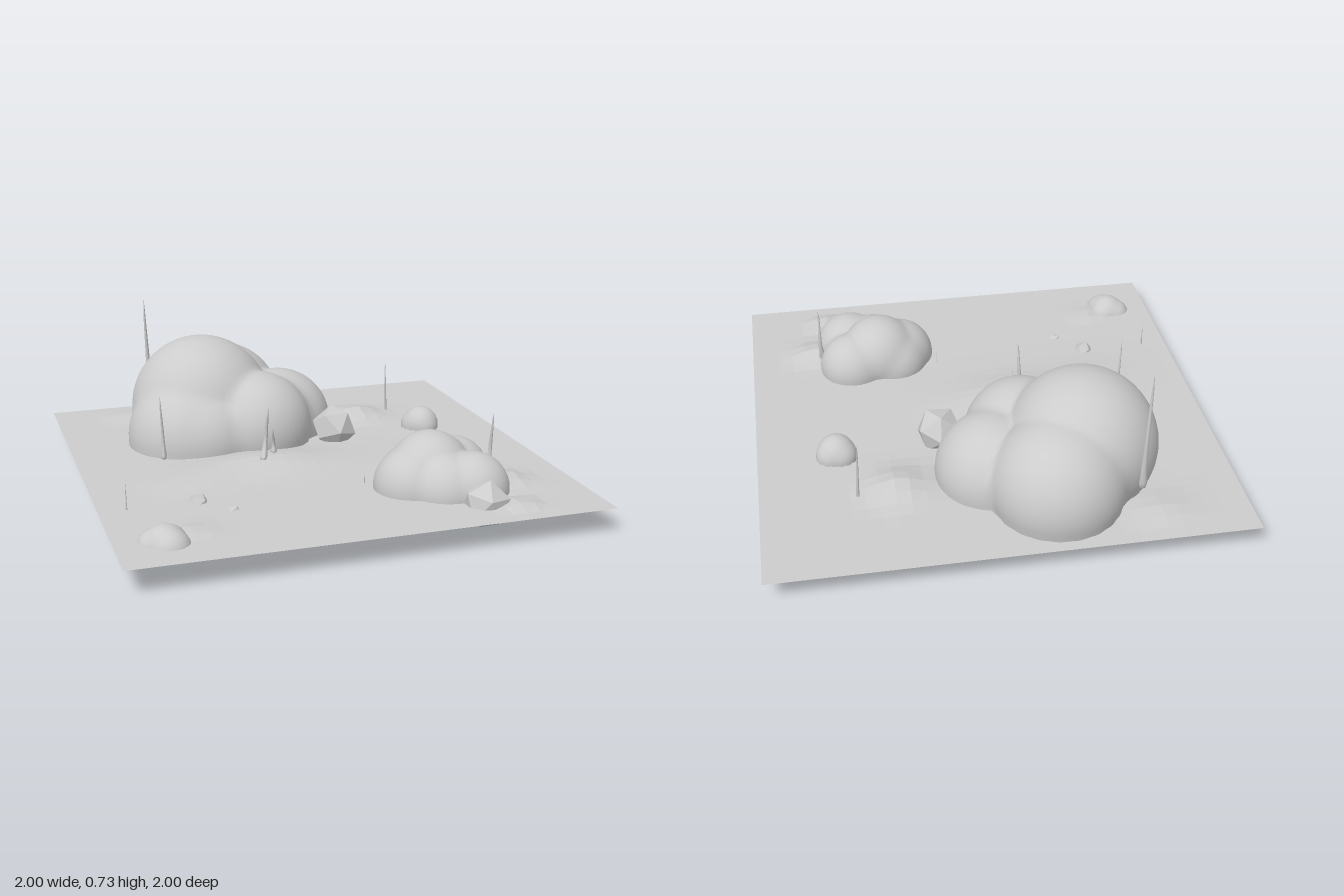
import * as THREE from 'three';
import { mergeVertices } from 'three/addons/utils/BufferGeometryUtils.js';

const GROUND = 0.11;
const smooth = new THREE.MeshStandardMaterial({ color: 0xcccccc, side: THREE.DoubleSide });
const faceted = new THREE.MeshStandardMaterial({ color: 0xcccccc, side: THREE.DoubleSide, flatShading: true });

// Low mounds on the ground: [x, z, width x, width z, height]
const mounds = [
  [-0.2, 0.06, 0.3, 0.16, 0.045],
  [-0.55, 0.2, 0.18, 0.14, 0.015],
  [0.42, -0.5, 0.12, 0.11, 0.05],
  [0.7, 0.57, 0.1, 0.09, 0.045],
  [0.64, 0.85, 0.07, 0.06, 0.03],
  [-0.62, -0.82, 0.12, 0.1, 0.02],
  [-0.68, 0.72, 0.08, 0.06, 0.015],
];

function groundHeight(x, z) {
  let y = GROUND;
  for (const [mx, mz, wx, wz, h] of mounds) {
    y += h * Math.exp(-(((x - mx) / wx) ** 2) - ((z - mz) / wz) ** 2);
  }
  const edge = Math.max(Math.abs(x), Math.abs(z));
  return GROUND + (y - GROUND) * Math.min(1, (1 - edge) * 12);
}

function makeGround() {
  const geo = new THREE.PlaneGeometry(2, 2, 32, 32).rotateX(-Math.PI / 2);
  const p = geo.attributes.position;
  for (let i = 0; i < p.count; i++) p.setY(i, groundHeight(p.getX(i), p.getZ(i)));
  return geo;
}

// Distance along a ray from c to the far side of a sphere lobe
function lobeReach(c, d, [x, y, z, r]) {
  const o = new THREE.Vector3(x, y, z).sub(c);
  const along = o.dot(d);
  return along + Math.sqrt(Math.max(0, r * r - o.lengthSq() + along * along));
}

// Open dome that smoothly wraps a cluster of spherical lobes, with a ragged rim
function makeBoulder(center, lobes, segments, blend, rim) {
  const c = new THREE.Vector3(...center);
  const geo = new THREE.SphereGeometry(1, segments, segments / 2, 0, Math.PI * 2, 0, Math.PI / 2);
  const p = geo.attributes.position;
  const d = new THREE.Vector3();
  const lastRow = segments / 2;
  for (let i = 0; i < p.count; i++) {
    d.fromBufferAttribute(p, i).normalize();
    const reach = lobes.map((l) => lobeReach(c, d, l));
    const far = Math.max(...reach);
    const sum = reach.reduce((s, t) => s + Math.exp((t - far) / blend), 0);
    d.multiplyScalar(far + blend * Math.log(sum) * 0.6).add(c);
    const col = i % (segments + 1);
    if (Math.floor(i / (segments + 1)) === lastRow) d.y -= col % 2 ? rim : 0;
    p.setXYZ(i, d.x, d.y, d.z);
  }
  geo.deleteAttribute('uv');
  geo.deleteAttribute('normal');
  const merged = mergeVertices(geo, 1e-5);
  merged.computeVertexNormals();
  return merged;
}

// Tapering stalk with a bulbous foot, swaying along its height
function makeStalk(height, radius, sway, leanX, leanZ) {
  const profile = [[0, 0], [0.9, 0.02], [1.2, 0.07], [0.8, 0.18], [0.6, 0.32], [0.55, 0.46],
    [0.45, 0.6], [0.35, 0.74], [0.25, 0.87], [0, 1]];
  const geo = new THREE.LatheGeometry(profile.map(([r, y]) => new THREE.Vector2(r * radius, y * height)), 8);
  const p = geo.attributes.position;
  for (let i = 0; i < p.count; i++) {
    const t = p.getY(i) / height;
    const s = Math.sin(t * Math.PI * 1.6) * sway;
    p.setX(i, p.getX(i) + leanX * t + s * 0.4);
    p.setZ(i, p.getZ(i) + leanZ * t - s);
  }
  geo.computeVertexNormals();
  return geo;
}

export function createModel() {
  const group = new THREE.Group();
  const add = (name, geo, mat, x = 0, y = 0, z = 0) => {
    const mesh = new THREE.Mesh(geo, mat);
    mesh.name = name;
    mesh.position.set(x, y, z);
    group.add(mesh);
    return mesh;
  };

  add('ground', makeGround(), faceted);

  // Large lobed boulder
  add('largeBoulder', makeBoulder([-0.22, 0.11, -0.48], [
    [-0.36, 0.25, -0.49, 0.325],
    [-0.45, 0.14, -0.37, 0.28],
    [-0.22, 0.2, -0.68, 0.285],
    [0.01, 0.14, -0.47, 0.25],
    [-0.14, 0.18, -0.3, 0.25],
    [-0.38, 0.15, -0.3, 0.23],
  ], 72, 0.012, 0.022), smooth);

  // Medium boulder
  add('mediumBoulder', makeBoulder([0.42, 0.1, 0.53], [
    [0.4, 0.16, 0.48, 0.175],
    [0.3, 0.12, 0.52, 0.16],
    [0.53, 0.13, 0.43, 0.152],
    [0.53, 0.12, 0.63, 0.155],
    [0.42, 0.11, 0.6, 0.16],
    [0.33, 0.12, 0.45, 0.148],
  ], 56, 0.008, 0.022), smooth);

  // Two small boulders
  add('smallBoulderFront', makeBoulder([-0.805, 0.08, 0.775], [
    [-0.8, 0.09, 0.77, 0.085],
    [-0.835, 0.08, 0.755, 0.075],
    [-0.785, 0.08, 0.8, 0.082],
    [-0.78, 0.09, 0.75, 0.07],
  ], 32, 0.005, 0.02), smooth);
  add('smallBoulderBack', makeBoulder([0.66, 0.115, -0.245], [
    [0.66, 0.13, -0.24, 0.08],
    [0.64, 0.12, -0.255, 0.07],
    [0.68, 0.12, -0.25, 0.068],
    [0.665, 0.12, -0.22, 0.066],
  ], 32, 0.005, 0.01), smooth);

  // Faceted stones: [x, y, z, radius]
  const stones = [
    [0.205, 0.165, -0.2, 0.105],
    [0.52, 0.105, 0.78, 0.105],
    [-0.59, 0.1, 0.41, 0.047],
    [-0.475, 0.093, 0.535, 0.034],
    [0.35, 0.075, 0.265, 0.036],
  ];
  stones.forEach(([x, y, z, r], i) => {
    const stone = add('stone' + (i + 1), new THREE.IcosahedronGeometry(r, 0), faceted, x, y, z);
    stone.rotation.set(0.55 + i * 0.04, i * 1.3, 0.05);
  });

  // Stalks: [x, foot y, z, height, radius, sway, lean x, lean z]
  const stalks = [
    [-0.56, 0.17, -0.745, 0.56, 0.017, 0.012, -0.012, 0.005],
    [-0.635, 0.14, -0.05, 0.3, 0.011, 0.008, -0.01, 0.005],
    [-0.225, 0.145, 0.1, 0.245, 0.015, 0.02, 0.035, -0.025],
    [-0.155, 0.15, 0.025, 0.12, 0.013, 0.008, -0.01, 0.022],
    [-0.885, 0.1, 0.415, 0.13, 0.004, 0.002, 0, 0],
    [0.592, 0.02, -0.53, 0.35, 0.011, 0.006, -0.005, -0.005],
    [0.665, 0.13, 0.5, 0.27, 0.014, 0.014, 0.018, -0.01],
    [0.13, 0.08, 0.415, 0.08, 0.004, 0.002, 0, 0],
  ];
  stalks.forEach(([x, y, z, ...shape], i) => add('stalk' + (i + 1), makeStalk(...shape), smooth, x, y, z));

  return group;
}
